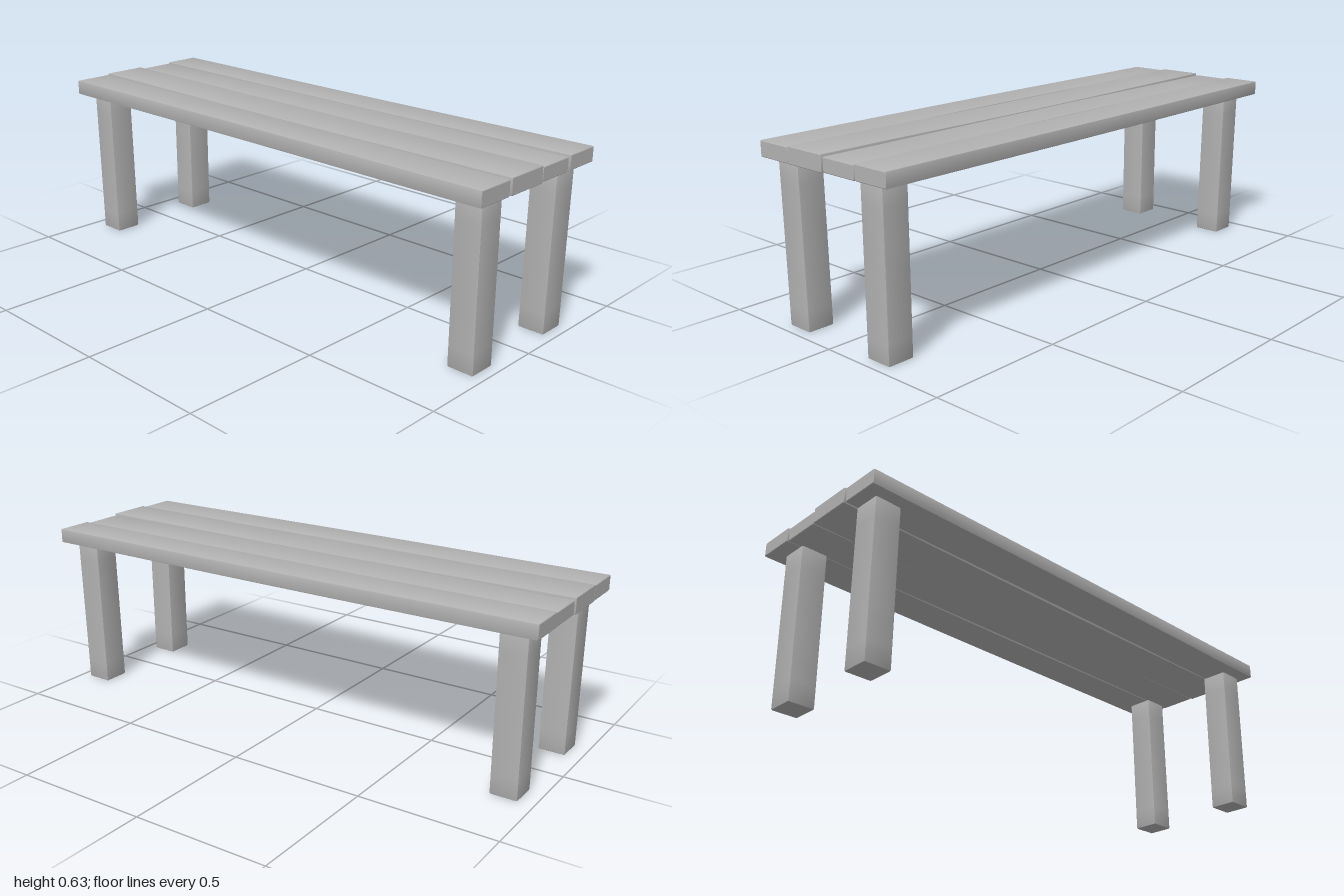
import * as THREE from 'three';
import { toCreasedNormals } from 'three/addons/utils/BufferGeometryUtils.js';

// Softly bevelled timber running along z, centred on the origin
function timber(width, height, length, bevel) {
  const w = width / 2, h = height / 2, b = bevel;
  const shape = new THREE.Shape();
  shape.moveTo(-w + b, -h);
  shape.lineTo(w - b, -h);
  shape.quadraticCurveTo(w, -h, w, -h + b);
  shape.lineTo(w, h - b);
  shape.quadraticCurveTo(w, h, w - b, h);
  shape.lineTo(-w + b, h);
  shape.quadraticCurveTo(-w, h, -w, h - b);
  shape.lineTo(-w, -h + b);
  shape.quadraticCurveTo(-w, -h, -w + b, -h);
  const geometry = new THREE.ExtrudeGeometry(shape, {
    depth: length - 2 * b, steps: 8, curveSegments: 2,
    bevelEnabled: true, bevelThickness: b, bevelSize: b * 0.6, bevelOffset: -b * 0.6, bevelSegments: 2,
  });
  return geometry.translate(0, 0, -length / 2 + b);
}

// Moves each vertex by a rule, giving the timber its hand-cut unevenness
function warp(geometry, rule) {
  const position = geometry.attributes.position;
  const v = new THREE.Vector3();
  for (let i = 0; i < position.count; i++) {
    rule(v.fromBufferAttribute(position, i));
    position.setXYZ(i, v.x, v.y, v.z);
  }
  return toCreasedNormals(geometry, 0.6);
}

export function createModel() {
  const bench = new THREE.Group();
  bench.name = 'bench';
  const wood = new THREE.MeshStandardMaterial({ color: 0xb2b2b2 });
  wood.name = 'grey wood';

  function add(name, geometry) {
    const mesh = new THREE.Mesh(geometry, wood);
    mesh.name = name;
    bench.add(mesh);
  }

  // Seat planks: z range, y range, sideways skew, vertical bow
  const planks = [
    ['frontPlank', 0.161, 0.308, 0.575, 0.631, 0.001, 0.001],
    ['frontMiddlePlank', -0.012, 0.157, 0.573, 0.633, 0.002, -0.002],
    ['backMiddlePlank', -0.164, -0.016, 0.578, 0.629, 0.002, 0.001],
    ['backPlank', -0.309, -0.168, 0.578, 0.632, 0, -0.001],
  ];
  planks.forEach(([name, z0, z1, y0, y1, skew, bow], i) => {
    const geometry = timber(z1 - z0, y1 - y0, 1.99 + (i % 2) * 0.006, 0.005).rotateY(Math.PI / 2);
    geometry.translate(0, (y0 + y1) / 2, (z0 + z1) / 2);
    add(name, warp(geometry, (v) => {
      v.z += skew * v.x;
      v.y += bow * Math.cos(v.x * Math.PI);
    }));
  });

  // Legs: centre x and z, with the lean of the top in x and z
  const legs = [
    ['frontLeftLeg', 0.914, 0.205, 0.004, 0.003],
    ['backLeftLeg', 0.914, -0.199, 0.004, -0.006],
    ['frontRightLeg', -0.896, 0.206, -0.004, 0.004],
    ['backRightLeg', -0.896, -0.199, -0.004, -0.005],
  ];
  for (const [name, x, z, leanX, leanZ] of legs) {
    const geometry = timber(0.099, 0.101, 0.578, 0.005).rotateX(-Math.PI / 2);
    geometry.translate(x, 0.289, z);
    add(name, warp(geometry, (v) => {
      const t = v.y / 0.578 - 0.5;
      v.x += leanX * t;
      v.z += leanZ * t;
    }));
  }
  return bench;
}
